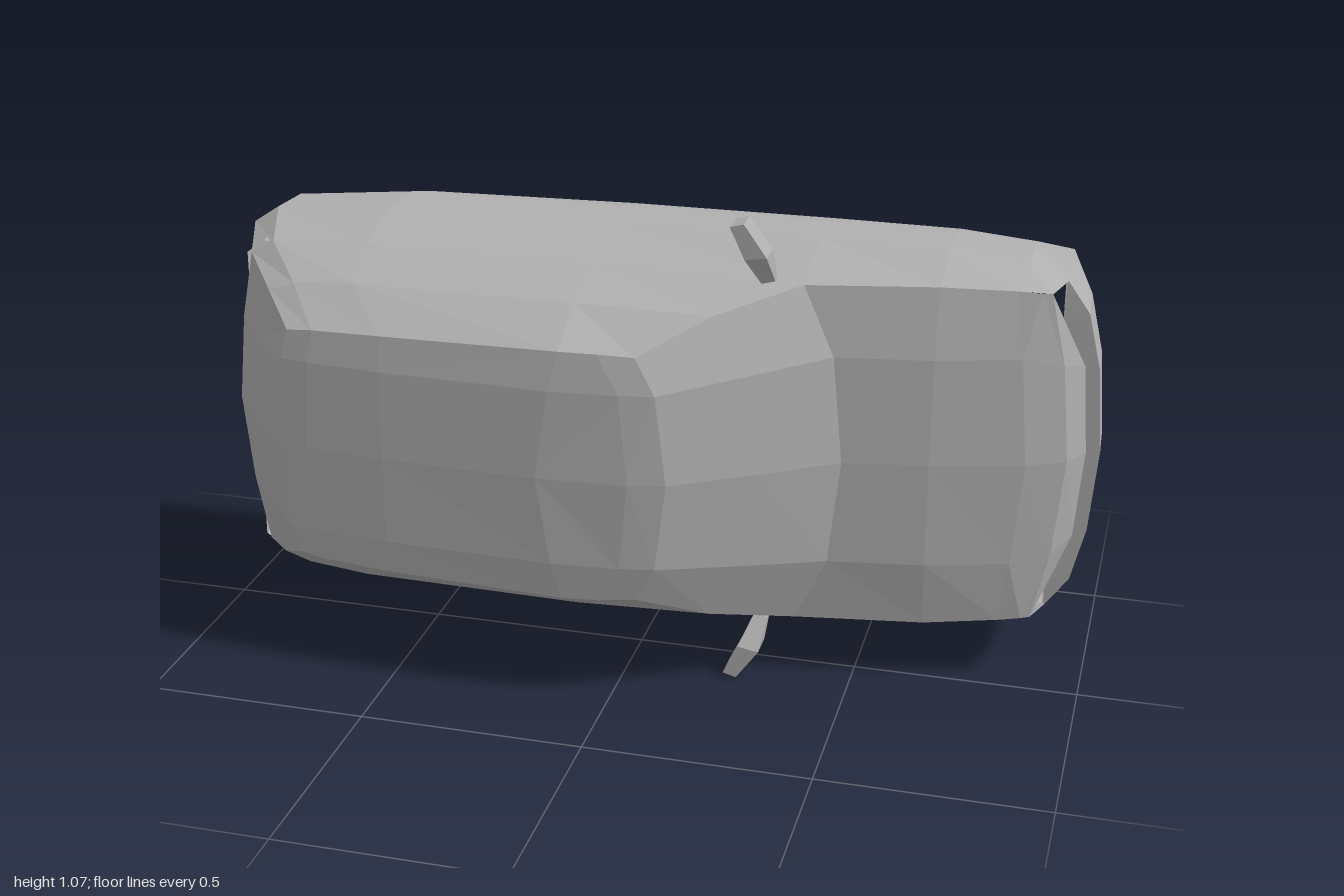
import * as THREE from 'three';

const MID = 0.535; // height of the car's long axis; the roof faces +z, the nose +x

const paint = new THREE.MeshStandardMaterial({ color: 0xb0b0b0, side: THREE.DoubleSide, flatShading: true });
paint.name = 'greyPaint';

// Grid of [x, offset from axis, z] points, built on both sides of the axis
function patch(name, rows) {
  const pos = [];
  for (const side of [1, -1]) {
    const put = (...pts) => {
      if (side < 0) pts.reverse();
      for (const [x, h, z] of pts) pos.push(x, MID + side * h, z);
    };
    for (let i = 0; i < rows.length - 1; i++) {
      for (let j = 0; j < rows[i].length - 1; j++) {
        const a = rows[i][j], b = rows[i + 1][j], c = rows[i + 1][j + 1], d = rows[i][j + 1];
        put(a, b, c);
        put(a, c, d);
      }
    }
  }
  const geo = new THREE.BufferGeometry();
  geo.setAttribute('position', new THREE.Float32BufferAttribute(pos, 3));
  geo.computeVertexNormals();
  const mesh = new THREE.Mesh(geo, paint);
  mesh.name = name;
  return mesh;
}

// Point on the rectangular rim of the hollow underside
const rim = ([x, h], z) => [Math.min(0.9, Math.max(-0.91, x)), Math.min(h, 0.38), z];

export function createModel() {
  const car = new THREE.Group();
  car.name = 'carBodyShell';
  const add = (name, rows) => car.add(patch(name, rows));

  // Lower body stations from tail centre to front corner: sill, lower, bulge, belt
  const body = [
    [[-0.95, 0, -0.28], [-0.99, 0, -0.25], [-1, 0, -0.12], [-0.945, 0, 0.05]],
    [[-0.945, 0.2, -0.28], [-0.982, 0.2, -0.25], [-0.99, 0.2, -0.12], [-0.925, 0.2, 0.05]],
    [[-0.92, 0.35, -0.28], [-0.955, 0.36, -0.25], [-0.96, 0.37, -0.12], [-0.895, 0.355, 0.05]],
    [[-0.87, 0.39, -0.285], [-0.9, 0.402, -0.25], [-0.9, 0.41, -0.12], [-0.84, 0.385, 0.05]],
    [[-0.6, 0.415, -0.31], [-0.62, 0.427, -0.26], [-0.62, 0.433, -0.12], [-0.62, 0.397, 0.05]],
    [[-0.1, 0.42, -0.325], [-0.1, 0.432, -0.26], [-0.1, 0.437, -0.12], [-0.1, 0.399, 0.05]],
    [[0.37, 0.42, -0.33], [0.37, 0.433, -0.26], [0.37, 0.44, -0.12], [0.37, 0.392, 0.06]],
    [[0.65, 0.42, -0.325], [0.65, 0.43, -0.26], [0.65, 0.437, -0.12], [0.65, 0.395, 0.01]],
    [[0.82, 0.405, -0.325], [0.82, 0.412, -0.26], [0.82, 0.415, -0.13], [0.81, 0.387, -0.03]],
    [[0.9, 0.395, -0.322], [0.905, 0.395, -0.25], [0.905, 0.385, -0.13], [0.88, 0.38, -0.05]],
  ];
  add('lowerBody', body);

  // Wrap-around front bumper: lower edge, face, top edge
  const bumper = [
    [[0.9, 0.395, -0.322], [0.905, 0.395, -0.25], [0.905, 0.385, -0.13]],
    [[0.935, 0.32, -0.315], [0.95, 0.32, -0.25], [0.955, 0.315, -0.13]],
    [[0.965, 0.19, -0.312], [0.98, 0.19, -0.25], [0.985, 0.19, -0.13]],
    [[0.98, 0, -0.31], [0.995, 0, -0.25], [1, 0, -0.13]],
  ];
  add('frontBumper', bumper);
  add('bumperShelf', bumper.map(r => [r[2], rim(r[2], -0.128)]));

  // Underside rim and inner walls of the hollow shell
  const all = [...body, ...bumper.slice(1)];
  add('undersideRim', all.map(r => [rim(r[0], r[0][2]), r[0]]));
  add('innerWall', all.map((r, i) => [
    rim(r[0], r[0][2]),
    rim(r[0], i < body.length - 1 ? r[3][2] - 0.01 : -0.128),
  ]));
  add('cabinFloor', [
    [[-0.92, 0, 0.045], [-0.91, 0.2, 0.045], [-0.89, 0.35, 0.045], [-0.85, 0.38, 0.045]],
    [[0.37, 0, 0.03], [0.37, 0.2, 0.03], [0.37, 0.35, 0.03], [0.37, 0.38, 0.03]],
  ]);
  add('cabinFloorStep', [
    [[0.37, 0, 0.03], [0.37, 0.24, 0.03], [0.37, 0.38, 0.03]],
    [[0.38, 0, 0.11], [0.375, 0.24, 0.1], [0.37, 0.385, 0.06]],
  ]);

  // Cabin sides: belt, shoulder, roof edge
  const sides = [
    [body[2][3], [-0.8, 0.318, 0.18], [-0.72, 0.265, 0.275]],
    [body[3][3], [-0.74, 0.338, 0.18], [-0.66, 0.272, 0.283]],
    [body[4][3], [-0.6, 0.35, 0.185], [-0.5, 0.278, 0.296]],
    [body[5][3], [-0.1, 0.354, 0.19], [-0.1, 0.286, 0.306]],
    [body[6][3], [0.2, 0.348, 0.18], [0.06, 0.28, 0.285]],
  ];
  add('cabinSide', sides);
  add('rearWindow', [
    [body[0][3], [-0.848, 0, 0.17], [-0.745, 0, 0.285]],
    [body[1][3], [-0.835, 0.2, 0.17], [-0.735, 0.2, 0.281]],
    sides[0],
  ]);

  // Gently domed roof: centre, mid, edge
  add('roof', [
    [[-0.745, 0, 0.285], [-0.735, 0.2, 0.281], sides[0][2]],
    [[-0.68, 0, 0.296], [-0.67, 0.2, 0.292], sides[1][2]],
    [[-0.5, 0, 0.311], [-0.5, 0.2, 0.307], sides[2][2]],
    [[-0.15, 0, 0.324], [-0.12, 0.2, 0.319], sides[3][2]],
    [[0.05, 0, 0.312], [0.03, 0.2, 0.306], [-0.02, 0.285, 0.299]],
    [[0.13, 0, 0.294], [0.105, 0.2, 0.292], sides[4][2]],
  ]);

  const cowl = [[0.465, 0, 0.075], [0.44, 0.24, 0.072], body[6][3]];
  add('windshield', [
    [[0.13, 0, 0.294], [0.105, 0.2, 0.292], sides[4][2]],
    [[0.3, 0, 0.187], [0.27, 0.22, 0.185], sides[4][1]],
    cowl,
  ]);

  // Hood, sloping to a rounded nose that leaves open lamp gaps at the corners
  add('hood', [
    cowl,
    [[0.65, 0, 0.045], [0.65, 0.24, 0.038], body[7][3]],
    [[0.85, 0, -0.012], [0.83, 0.24, -0.015], body[8][3]],
    [[0.935, 0, -0.055], [0.915, 0.22, -0.055], [0.86, 0.382, -0.042]],
    [[0.97, 0, -0.118], [0.955, 0.2, -0.115], body[9][3]],
  ]);

  // Wing mirrors: lofted through box sections [offset, x0, x1, z0, z1, lean]
  const ring = ([h, x0, x1, z0, z1]) => [
    [x0, h, z0], [x1, h + 0.008, z0], [x1, h + 0.008, z1], [x0, h, z1], [x0, h, z0],
  ];
  const base = [0.39, 0.28, 0.31, 0.045, 0.07];
  const tip = [0.525, 0.22, 0.25, 0.055, 0.118];
  const cap = ([h, x0, x1, z0, z1]) => Array(5).fill([(x0 + x1) / 2, h + 0.004, (z0 + z1) / 2]);
  add('wingMirror', [
    cap(base), ring(base), ring([0.455, 0.253, 0.3, 0.05, 0.118]), ring(tip), cap(tip),
  ]);

  return car;
}
